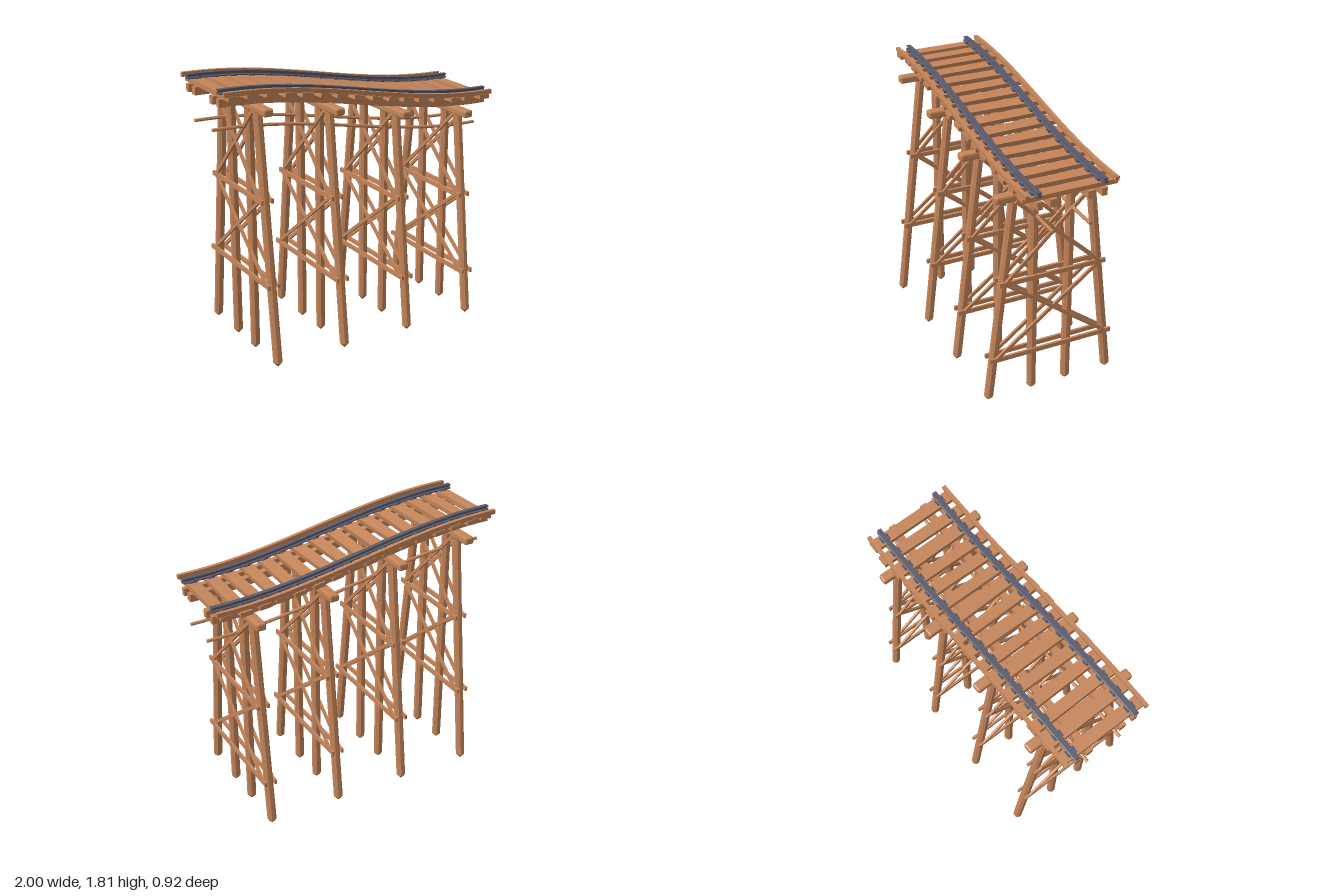
import * as THREE from 'three';
import { RoundedBoxGeometry } from 'three/addons/geometries/RoundedBoxGeometry.js';

export function createModel() {
  const model = new THREE.Group();
  model.name = 'trestleBridge';
  const wood = new THREE.MeshStandardMaterial({ color: 0xc4855a, flatShading: true });
  wood.name = 'timber';
  const steel = new THREE.MeshStandardMaterial({ color: 0x5a5a6b, flatShading: true });
  steel.name = 'railSteel';

  // Height of the sloping track relative to its middle
  const sag = x => -0.125 * Math.sin(Math.PI * x / 2);
  const slope = x => Math.atan(-0.125 * Math.PI / 2 * Math.cos(Math.PI * x / 2));
  // z of the leaning outer post centre at height y
  const lean = y => 0.435 - 0.12 * y;

  let seed = 7;
  const jitter = () => {
    seed = (seed * 16807) % 2147483647;
    return seed / 2147483647 * 2 - 1;
  };

  function add(parent, name, geometry, material, x = 0, y = 0, z = 0) {
    const mesh = new THREE.Mesh(geometry, material);
    mesh.name = name;
    mesh.position.set(x, y, z);
    parent.add(mesh);
    return mesh;
  }

  // Shifts every vertex to follow the track curve
  function bend(geometry) {
    const p = geometry.attributes.position;
    for (let i = 0; i < p.count; i++) p.setY(i, p.getY(i) + sag(p.getX(i)));
    geometry.computeVertexNormals();
    return geometry;
  }

  function curvedBeam(name, y0, y1, z, width) {
    const g = new THREE.BoxGeometry(2, y1 - y0, width, 28, 1, 1);
    g.translate(0, (y0 + y1) / 2, z);
    add(model, name, bend(g), wood);
  }

  // Plank in the plane x = constant, from (y0, z0) to (y1, z1)
  function plank(parent, name, x, y0, z0, y1, z1, height) {
    const length = Math.hypot(y1 - y0, z1 - z0);
    const g = new THREE.BoxGeometry(0.016, height, length);
    const mesh = add(parent, name, g, wood, x, (y0 + y1) / 2, (z0 + z1) / 2);
    mesh.rotation.x = -Math.atan2(y1 - y0, z1 - z0);
  }

  // Octagonal pile with a pointed foot
  function post(parent, name, z0, z1, top) {
    const length = Math.hypot(top, z1 - z0);
    const r = 0.03;
    const profile = [[0, 0], [r, 0.03], [r, length], [0, length]].map(p => new THREE.Vector2(...p));
    const g = new THREE.LatheGeometry(profile, 8);
    g.rotateY(Math.PI / 8);
    const mesh = add(parent, name, g, wood, 0, 0, z0);
    mesh.rotation.x = Math.atan2(z1 - z0, top);
  }

  // Four bents: posts, cap, girts and two tiers of cross braces
  for (const x of [-0.75, -0.25, 0.25, 0.75]) {
    const bent = new THREE.Group();
    bent.name = 'bent';
    bent.position.x = x;
    model.add(bent);
    const capTop = 1.577 + sag(x);
    const top = capTop - 0.045;
    const middle = capTop - 0.6;
    const bottom = capTop - 1.145;

    add(bent, 'cap', new RoundedBoxGeometry(0.066, 0.05, 0.78, 1, 0.012), wood, 0, capTop - 0.025, 0);
    for (const side of [-1, 1]) {
      post(bent, 'outerPost', side * lean(0), side * lean(top), top);
      post(bent, 'innerPost', side * 0.125, side * 0.125, top);
      const bx = side * 0.035;
      for (const y of [middle, bottom]) {
        const half = lean(y) + 0.04;
        plank(bent, 'girt', bx, y, -half, y, half, 0.03);
      }
      for (const [high, low] of [[top, middle], [middle, bottom]]) {
        for (const dir of [-1, 1]) {
          plank(bent, 'crossBrace', bx, high, dir * lean(high), low, -dir * lean(low), 0.022);
        }
      }
    }
  }

  // Rail section, extruded along the track
  const half = [[0.019, 0], [0.019, 0.007], [0.007, 0.011], [0.007, 0.02], [0.015, 0.023], [0.015, 0.031]];
  const section = [...half, ...half.map(([a, b]) => [-a, b]).reverse()];
  const railShape = new THREE.Shape(section.map(p => new THREE.Vector2(...p)));

  for (const side of [-1, 1]) {
    curvedBeam('stringer', 1.575, 1.626, side * 0.125, 0.045);
    curvedBeam('outerStringer', 1.575, 1.626, side * 0.215, 0.036);
    curvedBeam('guardTimber', 1.653, 1.682, side * 0.299, 0.025);

    const rail = new THREE.ExtrudeGeometry(railShape, { depth: 2, steps: 28, bevelEnabled: false });
    rail.translate(0, 0, -1);
    rail.rotateY(Math.PI / 2);
    rail.translate(0, 1.655, side * 0.22);
    add(model, 'rail', bend(rail), steel);

    // Thin lengthwise tie rod through the inner posts
    const rod = new THREE.CylinderGeometry(0.011, 0.011, 2, 8, 28);
    rod.rotateZ(Math.PI / 2);
    rod.translate(0, 1.41, side * 0.125);
    add(model, 'lengthwiseBrace', bend(rod), wood);
  }

  // Slightly uneven ties with rail plates and spikes
  for (let i = 0; i < 16; i++) {
    const x = -0.9375 + i * 0.125;
    const tie = new THREE.Group();
    tie.name = 'tie';
    tie.position.set(x, 1.64 + sag(x), 0);
    tie.rotation.z = slope(x);
    model.add(tie);
    const sleeper = add(tie, 'sleeper', new THREE.BoxGeometry(0.078, 0.03, 0.63 + 0.015 * jitter()), wood, 0, 0, 0.01 * jitter());
    sleeper.rotation.y = i % 15 ? 0.03 * jitter() : 0;
    for (const side of [-1, 1]) {
      add(tie, 'railPlate', new THREE.BoxGeometry(0.045, 0.006, 0.062), steel, 0, 0.017, side * 0.22);
      for (const edge of [-1, 1]) {
        add(tie, 'spike', new THREE.BoxGeometry(0.014, 0.012, 0.012), steel, edge * 0.012, 0.024, side * 0.22 + edge * 0.024);
      }
    }
  }
  return model;
}
